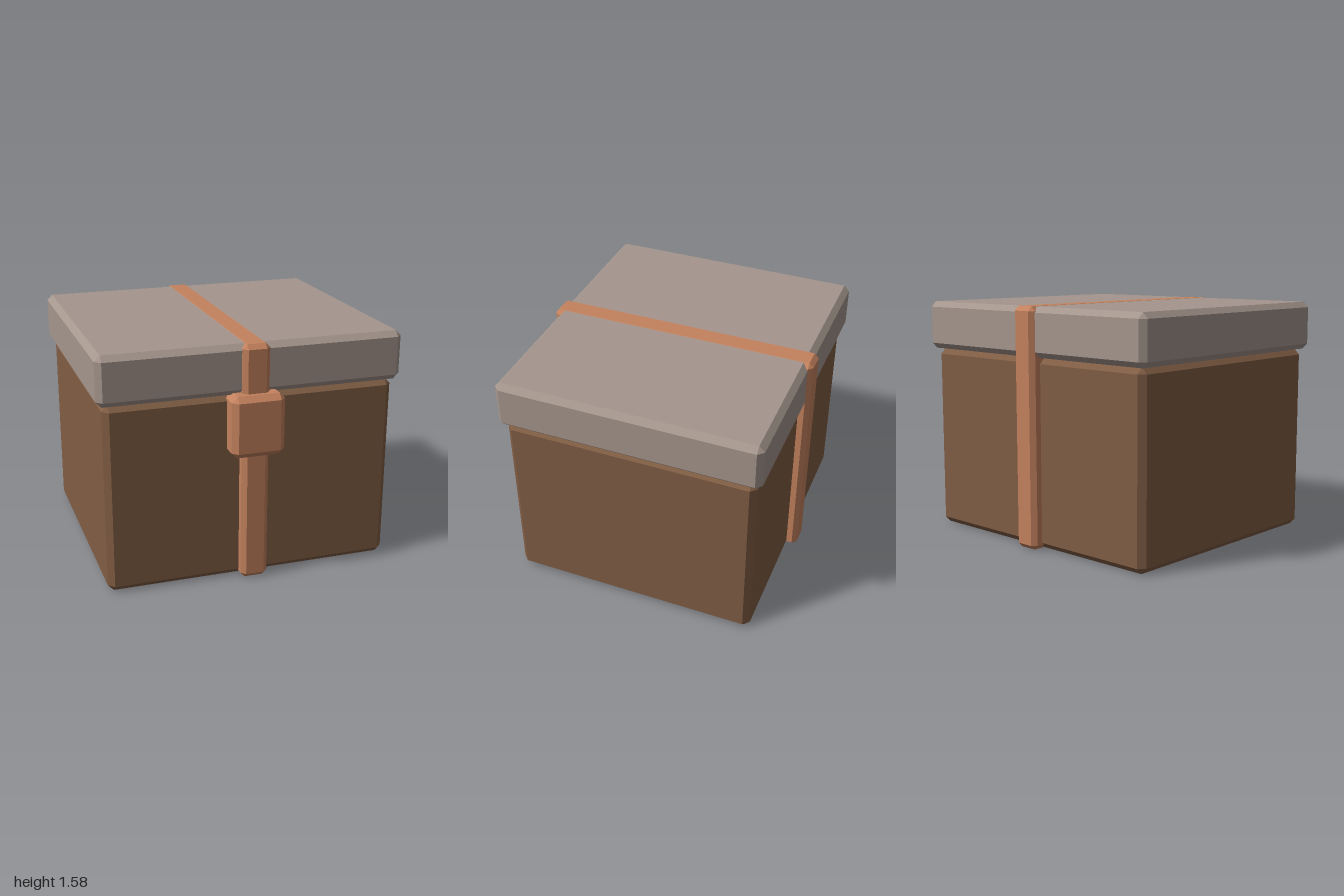
import * as THREE from 'three';
import { ConvexGeometry } from 'three/addons/geometries/ConvexGeometry.js';

// Box with flat bevels on every edge, given by its [min, max] extents
function bevelledBox(name, [x0, x1], [y0, y1], [z0, z1], bevel, color) {
  const half = [(x1 - x0) / 2, (y1 - y0) / 2, (z1 - z0) / 2];
  const points = [];
  for (const sx of [-1, 1]) for (const sy of [-1, 1]) for (const sz of [-1, 1]) {
    const sign = [sx, sy, sz];
    // each corner becomes three points, one on each adjoining face
    for (let face = 0; face < 3; face++) {
      points.push(new THREE.Vector3(
        ...half.map((h, axis) => sign[axis] * (axis === face ? h : h - bevel))));
    }
  }
  const mesh = new THREE.Mesh(
    new ConvexGeometry(points),
    new THREE.MeshStandardMaterial({ color, flatShading: true }));
  mesh.name = name;
  mesh.position.set((x0 + x1) / 2, (y0 + y1) / 2, (z0 + z1) / 2);
  return mesh;
}

export function createModel() {
  const brown = 0x805d44, stone = 0xa5968d, copper = 0xc4825e;
  const group = new THREE.Group();
  group.name = 'strappedChest';
  group.add(
    bevelledBox('body', [-0.96, 0.96], [0.002, 1.255], [-0.87, 0.81], 0.04, brown),
    bevelledBox('lid', [-1, 1], [1.255, 1.58], [-0.91, 0.845], 0.037, stone),
    // strap wraps the whole chest, just proud of the lid top
    bevelledBox('strap', [-0.09, 0.09], [0, 1.582], [-0.94, 0.88], 0.03, copper),
    bevelledBox('buckle', [-0.175, 0.175], [0.865, 1.27], [0.7, 0.94], 0.037, copper));
  return group;
}
